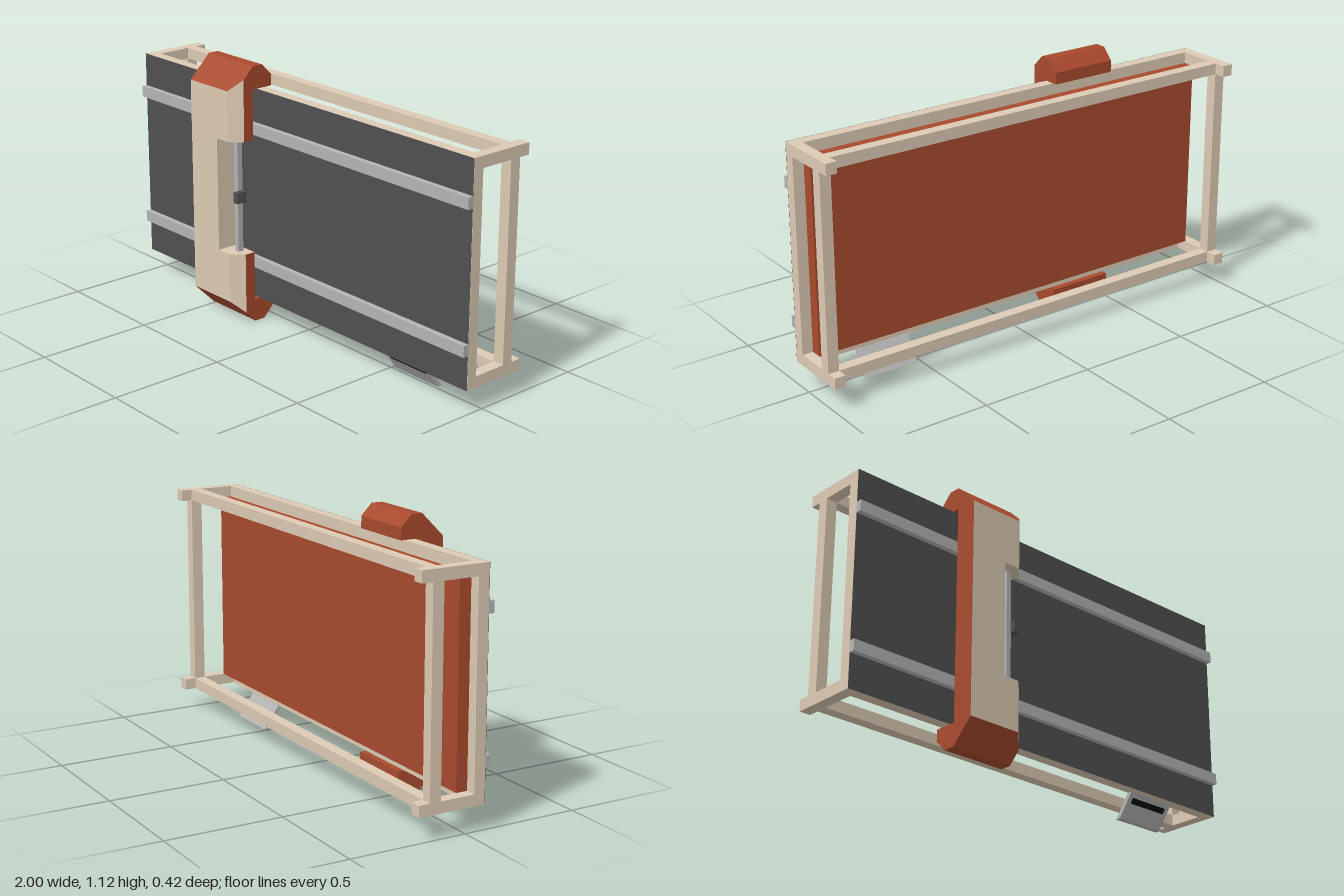
import * as THREE from 'three';

const mat = (color) => new THREE.MeshStandardMaterial({ color, flatShading: true, side: THREE.DoubleSide });
const beige = mat(0xdccab3), red = mat(0xa84a2d), dark = mat(0x505050), grey = mat(0xb4b4b4), black = mat(0x080808);
const MIRROR = 1.125; // machine height, used to mirror top and bottom

function add(parent, name, geometry, material) {
  const mesh = new THREE.Mesh(geometry, material);
  mesh.name = name;
  parent.add(mesh);
  return mesh;
}

// Box given by its limits on each axis
function box(parent, name, material, [x0, x1], [y0, y1], [z0, z1]) {
  const g = new THREE.BoxGeometry(x1 - x0, y1 - y0, z1 - z0);
  g.translate((x0 + x1) / 2, (y0 + y1) / 2, (z0 + z1) / 2);
  return add(parent, name, g, material);
}

// Prism along x from a (z, y) profile
function prism(points, x0, x1, steps = 1) {
  const shape = new THREE.Shape(points.map(([z, y]) => new THREE.Vector2(-z, y)));
  const g = new THREE.ExtrudeGeometry(shape, { depth: x1 - x0, steps, bevelEnabled: false });
  g.rotateY(Math.PI / 2);
  g.translate(x0, 0, 0);
  return g;
}

// Splits a geometry into two meshes: triangles that pass the test, and the rest
function addSplit(parent, name, geometry, test, matIn, matOut) {
  const g = geometry.index ? geometry.toNonIndexed() : geometry;
  const p = g.attributes.position;
  const tri = new THREE.Triangle(), n = new THREE.Vector3(), c = new THREE.Vector3();
  const lists = [[], []];
  for (let i = 0; i < p.count; i += 3) {
    tri.setFromAttributeAndIndices(p, i, i + 1, i + 2);
    tri.getNormal(n);
    tri.getMidpoint(c);
    const list = lists[test(n, c) ? 0 : 1];
    for (const v of [tri.a, tri.b, tri.c]) list.push(v.x, v.y, v.z);
  }
  lists.forEach((list, k) => {
    const out = new THREE.BufferGeometry();
    out.setAttribute('position', new THREE.Float32BufferAttribute(list, 3));
    out.computeVertexNormals();
    add(parent, name + (k ? 'Shell' : 'Face'), out, k ? matOut : matIn);
  });
}

function createFrame() {
  const frame = new THREE.Group();
  frame.name = 'frame';
  box(frame, 'frontPanel', beige, [-1, 1], [0.1, 1.025], [0.038, 0.085]);
  add(frame, 'panelFace', new THREE.PlaneGeometry(2, 0.925).translate(0, 0.5625, 0.0865), dark);
  box(frame, 'backBoard', red, [-0.953, 0.953], [0.148, 0.977], [-0.012, 0.038]);
  for (const y of [[0.1, 0.148], [0.977, 1.025]]) {
    box(frame, 'rearRail', beige, [-0.952, 0.952], y, [-0.159, -0.111]);
    for (const x of [[-1, -0.952], [0.952, 1]]) box(frame, 'sideArm', beige, x, y, [-0.207, 0.038]);
  }
  for (const x of [[-1, -0.952], [0.952, 1]]) box(frame, 'rearPost', beige, x, [0.148, 0.977], [-0.159, -0.111]);
  for (const y of [[0.245, 0.293], [0.832, 0.88]]) box(frame, 'guideRail', grey, [-1, 1], y, [0.085, 0.11]);
  return frame;
}

function createCarriage() {
  const carriage = new THREE.Group();
  carriage.name = 'carriage';
  // Hooked end, listed for the top and mirrored for the bottom
  const hook = [[0.208, 0.81], [0.208, 1.027], [0.11, 1.125], [0.062, 1.125], [0.014, 1.077],
    [0.014, 1.027], [0.112, 1.027], [0.112, 0.81]];
  for (const top of [true, false]) {
    const g = prism(hook.map(([z, y]) => [z, top ? y : MIRROR - y]), -0.515, -0.225, 2);
    // Chamfer the front corner on one side
    const p = g.attributes.position;
    for (let i = 0; i < p.count; i++) {
      const x = p.getX(i), y = p.getY(i);
      if (x > -0.4 && x < -0.3) p.setX(i, -0.273);
      if (x > -0.23 && p.getZ(i) > 0.2) {
        p.setZ(i, 0.16);
        if (y > 1) p.setY(i, y + 0.048);
        if (y < 0.12) p.setY(i, y - 0.048);
      }
    }
    const isFace = (n, c) => (Math.abs(n.y) < 0.1 && n.z > 0.1) || (Math.abs(n.y) > 0.9 && c.y > 0.3 && c.y < 0.83);
    addSplit(carriage, top ? 'upperHook' : 'lowerHook', g, isFace, beige, red);
  }
  // Narrow middle that leaves the slot for the slide rod
  const middle = new THREE.BoxGeometry(0.17, 0.495, 0.096).translate(-0.43, 0.5625, 0.16);
  addSplit(carriage, 'middle', middle, (n) => n.x > 0.5 || n.z > 0.5, beige, red);
  box(carriage, 'slideRod', grey, [-0.293, -0.27], [0.315, 0.81], [0.136, 0.161]);
  box(carriage, 'slider', dark, [-0.272, -0.245], [0.54, 0.587], [0.136, 0.184]);
  return carriage;
}

function createSlotPlate() {
  const plate = new THREE.Group();
  plate.name = 'slotPlate';
  add(plate, 'plate', prism([[0.058, 0.1], [0.036, 0.1], [-0.034, 0], [-0.012, 0]], 0.513, 0.753), grey);
  // Dark slot on the slanted face
  const z = (y) => -0.012 + 0.7 * y;
  add(plate, 'slot', prism([[z(0.08) + 0.002, 0.08], [z(0.08), 0.08], [z(0.06), 0.06], [z(0.06) + 0.002, 0.06]], 0.535, 0.73), black);
  return plate;
}

export function createModel() {
  const model = new THREE.Group();
  model.name = 'panelMachine';
  model.add(createFrame(), createCarriage(), createSlotPlate());
  return model;
}
